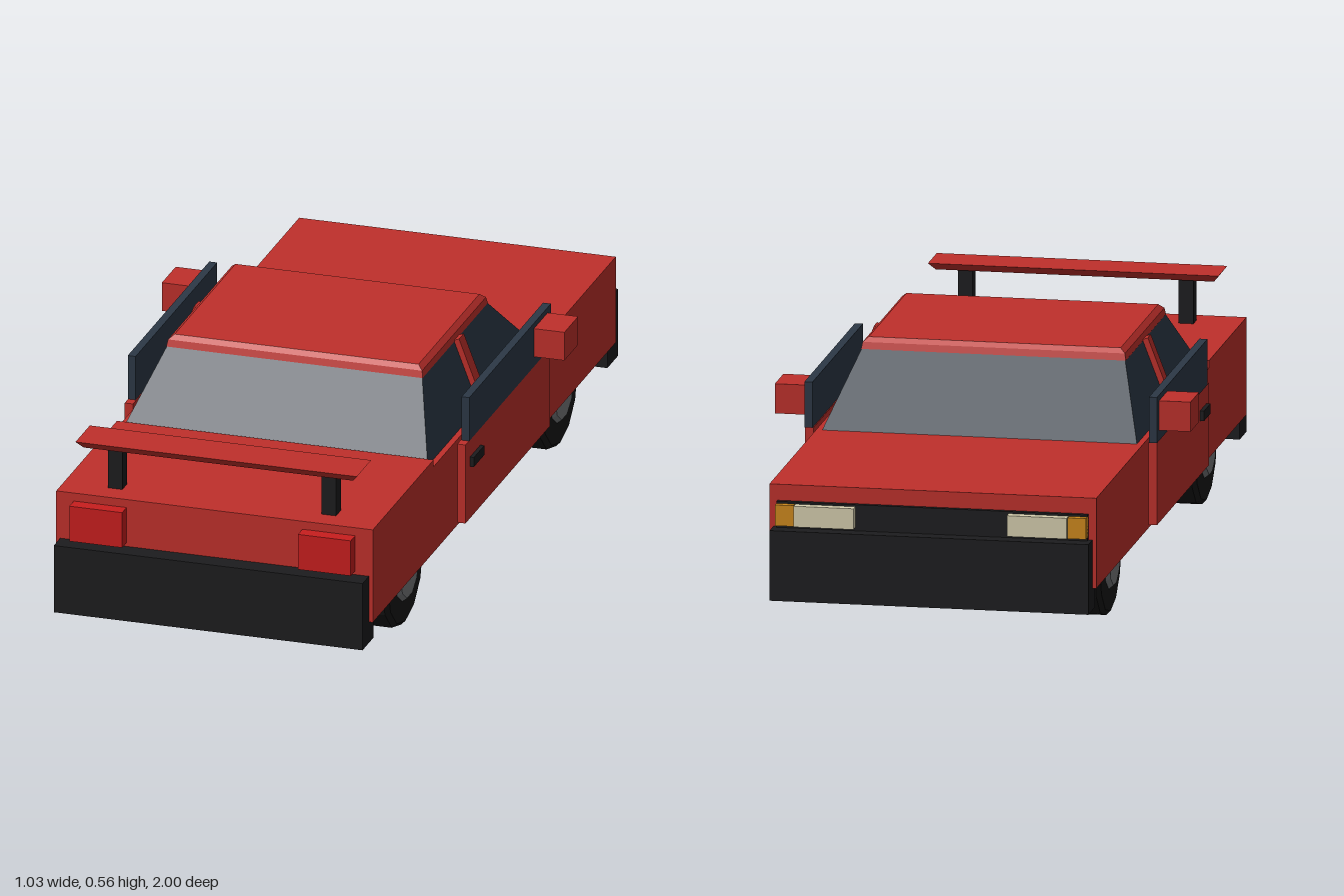
import * as THREE from 'three';

const mat = (color) => new THREE.MeshStandardMaterial({ color, flatShading: true });

export function createModel() {
  const car = new THREE.Group();
  car.name = 'car';
  const red = mat(0xc0302b), glass = mat(0x2c3846), black = mat(0x1c1c1e), tyreBlack = mat(0x161616);
  const hubGrey = mat(0x77797c), lampRed = mat(0xc81e1e), cream = mat(0xd8d0b0), amber = mat(0xd08a1c);

  const add = (name, geometry, material) => {
    const mesh = new THREE.Mesh(geometry, material);
    mesh.name = name;
    car.add(mesh);
    return mesh;
  };

  // Block given by its minimum and maximum on each axis
  const block = (name, material, [x0, x1], [y0, y1], [z0, z1]) => {
    const g = new THREE.BoxGeometry(x1 - x0, y1 - y0, z1 - z0);
    g.translate((x0 + x1) / 2, (y0 + y1) / 2, (z0 + z1) / 2);
    return add(name, g, material);
  };

  // Tapered block: lower and upper rectangles as [halfWidth, zMin, zMax]
  const taper = (name, material, [y0, y1], lower, upper) => {
    const g = new THREE.BoxGeometry(2, 1, 2);
    const p = g.attributes.position;
    for (let i = 0; i < p.count; i++) {
      const top = p.getY(i) > 0;
      const [w, z0, z1] = top ? upper : lower;
      p.setXYZ(i, Math.sign(p.getX(i)) * w, top ? y1 : y0, p.getZ(i) > 0 ? z1 : z0);
    }
    g.computeVertexNormals();
    return add(name, g, material);
  };

  // Body, boot lid, cabin glass and roof
  block('body', red, [-0.405, 0.405], [0.15, 0.375], [-0.95, 0.95]);
  block('bootLid', red, [-0.405, 0.405], [0.375, 0.393], [0.475, 0.95]);
  taper('cabinGlass', glass, [0.375, 0.545], [0.39, -0.36, 0.475], [0.325, -0.18, 0.32]);
  taper('roofEdge', red, [0.54, 0.557], [0.328, -0.185, 0.325], [0.325, -0.18, 0.32]);
  taper('roofTop', red, [0.557, 0.568], [0.325, -0.18, 0.32], [0.312, -0.168, 0.308]);

  // Bumpers and grille
  block('tailBumper', black, [-0.395, 0.395], [0.095, 0.27], [0.915, 1]);
  block('noseBumper', black, [-0.395, 0.395], [0.095, 0.27], [-1, -0.915]);
  block('grille', black, [-0.385, 0.385], [0.27, 0.335], [-0.962, -0.945]);

  // Spoiler plate
  taper('spoiler', red, [0.503, 0.522], [0.345, 0.845, 0.92], [0.36, 0.825, 0.937]);

  for (const s of [1, -1]) {
    const side = s > 0 ? 'left' : 'right';
    const sideBlock = (name, material, x, y, z) =>
      block(side + name, material, s > 0 ? x : [-x[1], -x[0]], y, z);

    // Door, door window, handle and mirror
    sideBlock('Door', red, [0.415, 0.436], [0.17, 0.376], [-0.34, 0.32]);
    sideBlock('DoorWindow', glass, [0.417, 0.437], [0.376, 0.49], [-0.345, 0.293]);
    sideBlock('DoorHandle', black, [0.43, 0.446], [0.306, 0.331], [0.203, 0.285]);
    sideBlock('Mirror', red, [0.437, 0.515], [0.402, 0.476], [-0.32, -0.212]);

    // Lamps
    sideBlock('TailLamp', lampRed, [0.225, 0.36], [0.28, 0.372], [0.945, 0.985]);
    sideBlock('HeadLamp', cream, [0.19, 0.338], [0.278, 0.33], [-0.985, -0.945]);
    sideBlock('Indicator', amber, [0.34, 0.385], [0.278, 0.33], [-0.98, -0.945]);

    // Spoiler post
    sideBlock('SpoilerPost', black, [0.255, 0.292], [0.39, 0.505], [0.855, 0.892]);

    // Sloping middle pillar over the cabin glass
    const pillar = add(side + 'Pillar', new THREE.BoxGeometry(0.018, 0.18, 0.038), red);
    pillar.position.set(s * 0.363, 0.46, 0.056);
    pillar.rotation.z = s * Math.atan2(0.065, 0.17);

    // Wheels: chamfered tyre with a plain hub
    for (const [end, z] of [['Tail', 0.6], ['Nose', -0.61]]) {
      const profile = [[0, 0.24], [0.135, 0.24], [0.146, 0.25], [0.146, 0.363], [0.135, 0.374], [0, 0.374]]
        .map(([r, x]) => new THREE.Vector2(r, x));
      const tyre = add(side + end + 'Tyre', new THREE.LatheGeometry(profile, 12), tyreBlack);
      const hub = add(side + end + 'Hub', new THREE.CylinderGeometry(0.07, 0.08, 0.012, 10), hubGrey);
      hub.geometry.translate(0, 0.379, 0);
      for (const part of [tyre, hub]) {
        part.rotation.z = -s * Math.PI / 2;
        part.position.set(0, 0.15, z);
      }
    }
  }
  return car;
}
